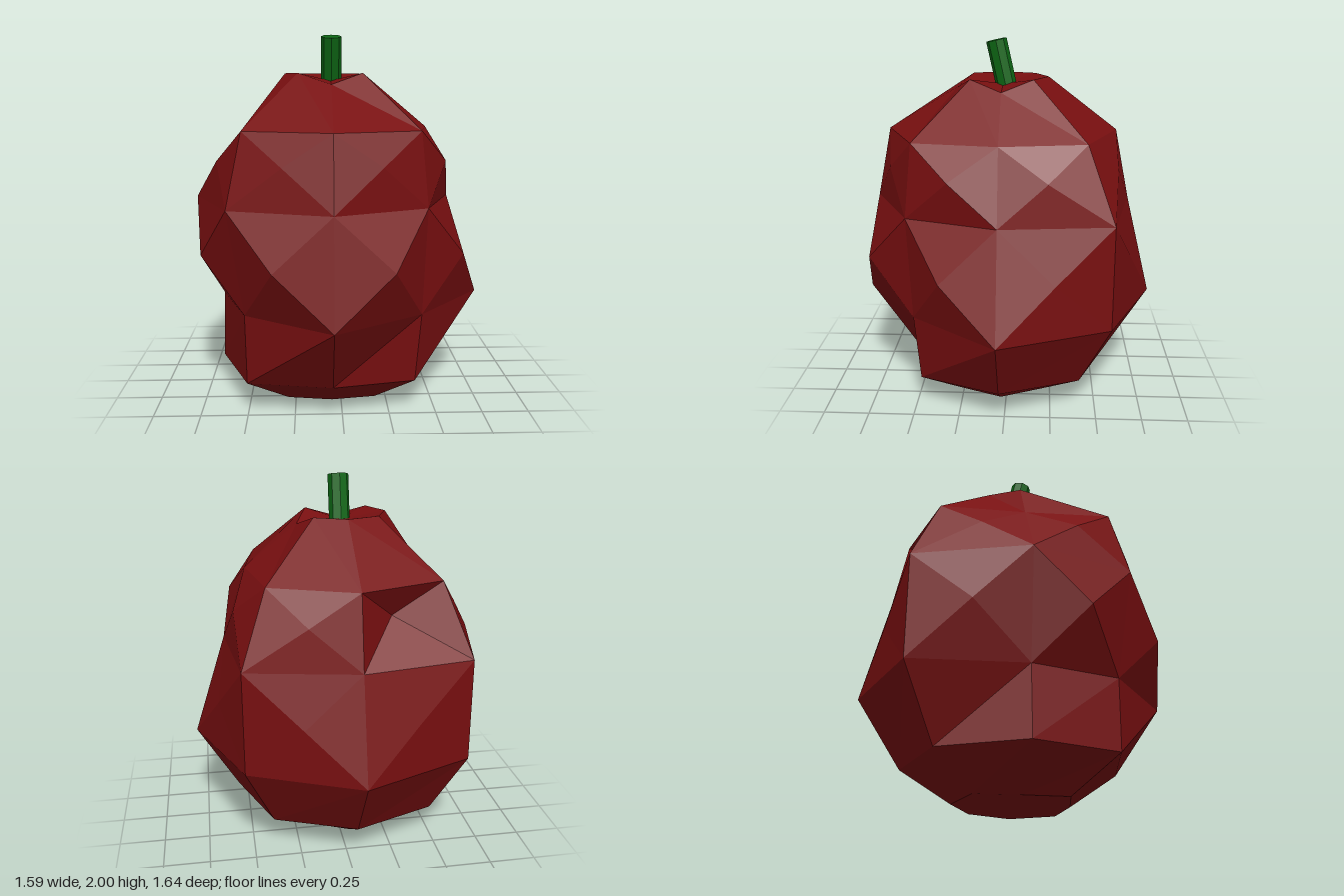
import * as THREE from 'three';

const CX = -0.05, CZ = 0.03, N = 8;

// Cross-sections from base to crown: height and eight radii, starting at +x and turning towards +z
const rings = [
  { y: 0.0, r: [0.34, 0.34, 0.28, 0.34, 0.25, 0.35, 0.34, 0.33] },
  { y: 0.17, r: [0.61, 0.62, 0.53, 0.64, 0.62, 0.63, 0.61, 0.62] },
  { y: 0.545, r: [0.84, 0.66, 0.79, 0.65, 0.61, 0.85, 0.85, 0.84] },
  { y: 1.11, r: [0.66, 0.69, 0.72, 0.76, 0.75, 0.85, 0.71, 0.84] },
  { y: 1.5, r: [0.53, 0.64, 0.64, 0.65, 0.45, 0.65, 0.63, 0.64] },
  { y: 1.79, r: [0.24, 0.24, 0.255, 0.25, 0.25, 0.25, 0.25, 0.24] },
];

// Raised or dented middle points for the faces above rings 2 and 3
const middles = {
  2: { y: 0.83, r: [0.77, 0.79, 0.79, 0.76, 0.76, 0.78, 0.78, 0.77] },
  3: { y: 1.33, r: [0.66, 0.65, 0.66, 0.66, 0.64, 0.5, 0.68, 0.66] },
};

function polar(i, r, y) {
  const a = (i / N) * Math.PI * 2;
  return [CX + Math.cos(a) * r, y, CZ + Math.sin(a) * r];
}

function ringPoint(k, i) {
  const j = i % N;
  // the crown rim dips at two corners
  const dip = k === rings.length - 1 && (j === 0 || j === 2) ? 0.06 : 0;
  return polar(j, rings[k].r[j], rings[k].y - dip);
}

function bodyGeometry() {
  const pos = [];
  const tri = (...points) => points.forEach((p) => pos.push(...p));
  const top = rings.length - 1;
  for (let i = 0; i < N; i++) {
    for (let k = 0; k < top; k++) {
      const a = ringPoint(k, i), b = ringPoint(k, i + 1);
      const c = ringPoint(k + 1, i + 1), d = ringPoint(k + 1, i);
      if (middles[k]) {
        const m = polar(i + 0.5, middles[k].r[i], middles[k].y);
        tri(a, d, m); tri(d, c, m); tri(c, b, m); tri(b, a, m);
      } else if (k === top - 1) {
        tri(a, d, c); tri(a, c, b);
      } else {
        tri(a, d, b); tri(d, c, b);
      }
    }
    // flat base and slightly sunken crown
    tri([CX, 0, CZ], ringPoint(0, i), ringPoint(0, i + 1));
    tri([CX, 1.75, CZ], ringPoint(top, i + 1), ringPoint(top, i));
  }
  const g = new THREE.BufferGeometry();
  g.setAttribute('position', new THREE.Float32BufferAttribute(pos, 3));
  g.computeVertexNormals();
  return g;
}

export function createModel() {
  const darkRed = new THREE.MeshStandardMaterial({ color: 0x780f10 });
  darkRed.name = 'darkRed';
  darkRed.flatShading = true;
  const stemGreen = new THREE.MeshStandardMaterial({ color: 0x0d6614 });
  stemGreen.name = 'stemGreen';
  stemGreen.flatShading = true;

  const model = new THREE.Group();
  model.name = 'fruit';

  const body = new THREE.Mesh(bodyGeometry(), darkRed);
  body.name = 'body';
  model.add(body);

  // Stem leaning towards the front
  const stem = new THREE.Mesh(new THREE.CylinderGeometry(0.057, 0.057, 0.25, N), stemGreen);
  stem.name = 'stem';
  stem.position.set(-0.045, 1.865, 0.04);
  stem.rotation.x = 0.22;
  model.add(stem);

  return model;
}
